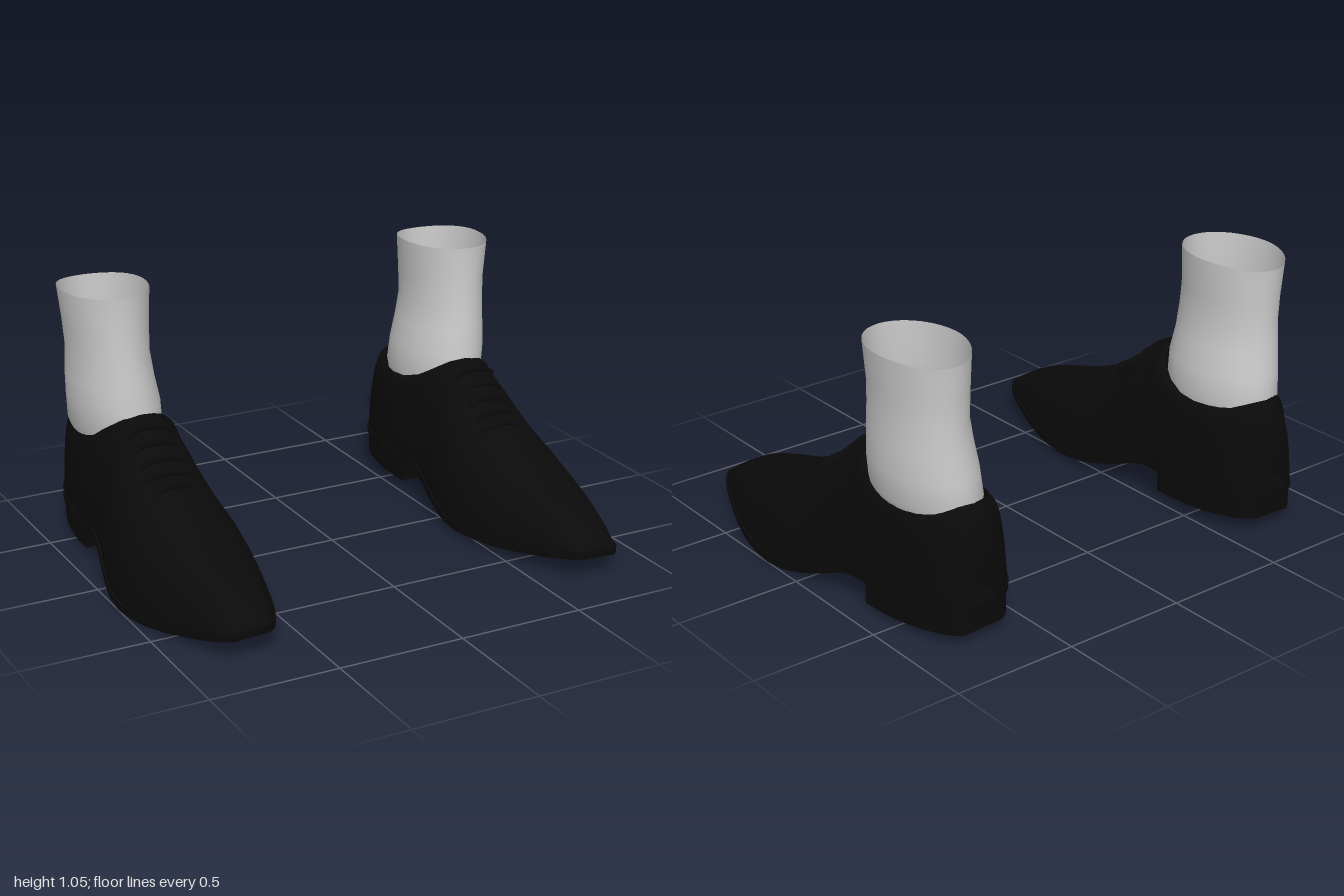
import * as THREE from 'three';
import { toCreasedNormals } from 'three/addons/utils/BufferGeometryUtils.js';

const black = new THREE.MeshStandardMaterial({ color: 0x0a0a0a, side: THREE.DoubleSide });
black.name = 'black leather';
const grey = new THREE.MeshStandardMaterial({ color: 0xcacaca, side: THREE.DoubleSide });
grey.name = 'light grey knit';

// Smooth lookup through [position, value] knots in descending position.
function curve(knots) {
  const slope = (i) => {
    const a = knots[Math.max(i - 1, 0)], b = knots[Math.min(i + 1, knots.length - 1)];
    return (b[1] - a[1]) / (b[0] - a[0]);
  };
  return (p) => {
    if (p >= knots[0][0]) return knots[0][1];
    let i = 0;
    while (i < knots.length - 2 && p < knots[i + 1][0]) i++;
    const [p0, v0] = knots[i], [p1, v1] = knots[i + 1];
    const h = p1 - p0, t = Math.min((p - p0) / h, 1), t2 = t * t, t3 = t2 * t;
    return v0 * (2 * t3 - 3 * t2 + 1) + v1 * (3 * t2 - 2 * t3)
      + h * (slope(i) * (t3 - 2 * t2 + t) + slope(i + 1) * (t3 - t2));
  };
}

// Outline, sole and ridge curves of the left shoe along z.
const inner = curve([[0.785, 0.665], [0.75, 0.625], [0.6, 0.555], [0.4, 0.487], [0.18, 0.45], [0, 0.47],
  [-0.2, 0.505], [-0.45, 0.495], [-0.6, 0.512], [-0.7, 0.548], [-0.76, 0.605], [-0.785, 0.66]]);
const outer = curve([[0.785, 0.805], [0.75, 0.84], [0.6, 0.905], [0.4, 0.972], [0.18, 1.0], [0, 0.972],
  [-0.2, 0.925], [-0.45, 0.92], [-0.6, 0.895], [-0.7, 0.86], [-0.76, 0.82], [-0.785, 0.785]]);
const soleY = curve([[0.785, 0.072], [0.6, 0.038], [0.4, 0.012], [0.2, 0.004], [0.1, 0.01], [0, 0.03],
  [-0.1, 0.06], [-0.22, 0.103], [-0.33, 0.112], [-0.785, 0.132]]);
const ridgeY = curve([[0.785, 0.102], [0.75, 0.14], [0.65, 0.198], [0.55, 0.233], [0.4, 0.274], [0.3, 0.312],
  [0.2, 0.355], [0.1, 0.4], [0, 0.465], [-0.1, 0.548], [-0.15, 0.585], [-0.19, 0.597], [-0.24, 0.562],
  [-0.32, 0.51], [-0.42, 0.482], [-0.55, 0.482], [-0.64, 0.492], [-0.71, 0.52], [-0.735, 0.505],
  [-0.76, 0.455], [-0.772, 0.38], [-0.78, 0.27]]);
const stations = [0.785, 0.775, 0.75, 0.7, 0.65, 0.6, 0.5, 0.4, 0.3, 0.2, 0.1, 0.05, 0, -0.05, -0.1, -0.15, -0.19,
  -0.21, -0.24, -0.28, -0.32, -0.4, -0.48, -0.55, -0.6, -0.64, -0.68, -0.7, -0.715, -0.735, -0.75, -0.76,
  -0.768, -0.775, -0.78];
const tilt = (x) => 0.045 * (0.97 - x);
const V = (x, y, z) => new THREE.Vector3(x, y, z);

// Skin a list of equal-length point rows; skip leaves out one strip.
function loft(rows, { capped = false, skip = -1, crease = 0.8 } = {}) {
  const n = rows[0].length, pos = rows.flat().flatMap((p) => p.toArray()), index = [];
  for (let i = 0; i < rows.length - 1; i++)
    for (let j = 0; j < n - 1; j++) {
      if (j === skip) continue;
      const a = i * n + j, c = a + n;
      index.push(a, a + 1, c + 1, a, c + 1, c);
    }
  if (capped) [0, rows.length - 1].forEach((r) => {
    const mid = rows[r].reduce((s, p) => s.add(p), V(0, 0, 0)).divideScalar(n);
    const m = pos.length / 3;
    pos.push(...mid.toArray());
    for (let j = 0; j < n - 1; j++) {
      const a = r * n + j;
      index.push(m, r ? a : a + 1, r ? a + 1 : a);
    }
  });
  const g = new THREE.BufferGeometry();
  g.setAttribute('position', new THREE.Float32BufferAttribute(pos, 3));
  g.setIndex(index);
  return toCreasedNormals(g.toNonIndexed(), crease);
}

// Half cross-section, from the sole edge to the ridge: [width share, height share].
const half = [[0.985, 0], [1, 0.07], [0.975, 0.2], [0.93, 0.35], [0.87, 0.5], [0.77, 0.67], [0.64, 0.81],
  [0.46, 0.92], [0.24, 0.98], [0, 1]];

function upperRow(z) {
  const l = inner(z) + 0.006, r = outer(z) - 0.006, mid = THREE.MathUtils.lerp((l + r) / 2, 0.715, 0.5);
  const e = (z + 0.455) / 0.26;
  const open = Math.abs(e) < 1 ? 0.162 * Math.sqrt(1 - e * e) : 0;
  const y0 = soleY(z) + 0.02, y1 = ridgeY(z);
  const point = (edge, s) => ([a, b]) => {
    const x = THREE.MathUtils.lerp(mid + s * open, edge, a);
    return V(x, THREE.MathUtils.lerp(y0 + tilt(x), Math.max(y1, y0 + 0.01), b), z);
  };
  return [...half.map(point(l, -1)), ...half.map(point(r, 1)).reverse()];
}

// Slab section with a flat top and bottom.
function slabRow(z, low, high, inset) {
  const l = inner(z) + inset, r = outer(z) - inset;
  return [[l, low], [l, high], [r, high], [r, low], [l, low]].map(([x, y]) => V(x, y + tilt(x), z));
}

function add(group, name, geometry, material) {
  const mesh = new THREE.Mesh(geometry, material);
  mesh.name = name;
  group.add(mesh);
}

function makeShoe(name) {
  const shoe = new THREE.Group();
  shoe.name = name;

  // Upper, with an open collar
  add(shoe, 'upper', loft(stations.map(upperRow), { skip: half.length - 1, capped: true }), black);

  // Sole and stacked heel
  const soleZ = [...stations, -0.787];
  add(shoe, 'sole', loft(soleZ.map((z) => slabRow(z, soleY(z), soleY(z) + 0.03, 0)), { capped: true, crease: 0.6 }), black);
  const heelZ = [-0.33, -0.42, -0.5, -0.58, -0.64, -0.7, -0.735, -0.76, -0.77];
  add(shoe, 'heel', loft(heelZ.map((z) => slabRow(z, 0.026 - (z + 0.33) * 0.035, soleY(z) + 0.01, 0.008)),
    { capped: true, crease: 0.6 }), black);

  // Lace rows
  [0.1, 0.045, -0.01, -0.065, -0.12].forEach((z) => {
    const y = ridgeY(z);
    const path = new THREE.CatmullRomCurve3([V(0.63, y - 0.022, z), V(0.67, y + 0.001, z), V(0.72, y + 0.005, z),
      V(0.77, y + 0.001, z), V(0.81, y - 0.022, z)]);
    add(shoe, 'lace', new THREE.TubeGeometry(path, 12, 0.011, 6), black);
  });

  // Sock: [height, inner x, outer x, front z, back z]
  const rings = [[0.45, 0.565, 0.875, -0.21, -0.7], [0.5, 0.555, 0.895, -0.195, -0.71], [0.6, 0.563, 0.902, -0.195, -0.698],
    [0.7, 0.582, 0.905, -0.213, -0.682], [0.8, 0.598, 0.9, -0.22, -0.672], [0.9, 0.593, 0.908, -0.232, -0.672],
    [1.04, 0.585, 0.925, -0.23, -0.678]];
  const rows = rings.map(([y, x0, x1, z0, z1], k) => Array.from({ length: 37 }, (_, j) => {
    const a = (j % 36) * Math.PI / 18, s = -Math.sin(a);
    const dip = k === rings.length - 1 ? 0.01 - 0.02 * Math.max(0, -s) ** 2 : 0;
    return V((x0 + x1) / 2 + (x1 - x0) / 2 * Math.cos(a), y + dip, (z0 + z1) / 2 + (z0 - z1) / 2 * s);
  }));
  add(shoe, 'sock', loft(rows, { crease: 1.2 }), grey);
  return shoe;
}

export function createModel() {
  const model = new THREE.Group();
  model.name = 'pair of shoes with socks';
  const left = makeShoe('leftShoe'), right = makeShoe('rightShoe');
  right.scale.x = -1;
  model.add(left, right);
  return model;
}
